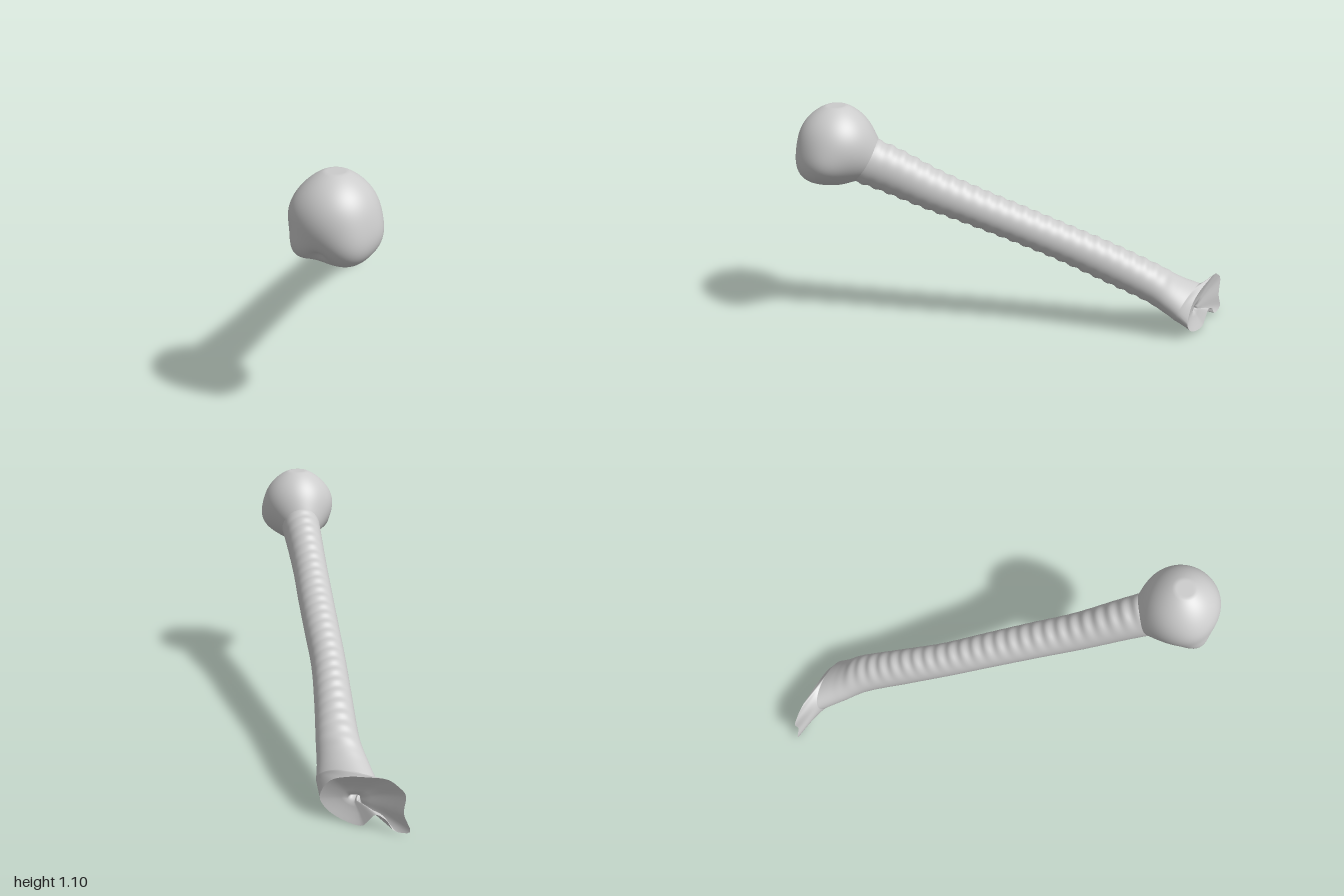
import * as THREE from 'three';
import { mergeVertices } from 'three/addons/utils/BufferGeometryUtils.js';

const SIDES = 60;

// Skin a list of rings (each SIDES points, running towards the lower end)
function loft(rings) {
  const pos = rings.flat().flatMap(p => [p.x, p.y, p.z]);
  const index = [];
  for (let i = 0; i < rings.length - 1; i++) {
    for (let j = 0; j < SIDES; j++) {
      const k = (j + 1) % SIDES;
      const a = i * SIDES + j, b = i * SIDES + k;
      const c = a + SIDES, d = b + SIDES;
      index.push(a, c, b, b, c, d);
    }
  }
  const g = new THREE.BufferGeometry();
  g.setAttribute('position', new THREE.Float32BufferAttribute(pos, 3));
  g.setIndex(index);
  g.computeVertexNormals();
  return g;
}

// Shaft stations: centre x, y, z, half width in x, skew in z, half depth
const stations = [
  [-0.02, 0.88, 0.78, 0.10, 0, 0.11],
  [-0.012, 0.805, 0.60, 0.090, 0, 0.106],
  [-0.003, 0.705, 0.40, 0.083, 0, 0.095],
  [0.012, 0.62, 0.20, 0.082, 0, 0.088],
  [0.025, 0.535, 0.00, 0.080, 0, 0.086],
  [0.038, 0.447, -0.20, 0.078, 0, 0.086],
  [0.062, 0.357, -0.40, 0.083, 0, 0.090],
  [0.088, 0.262, -0.60, 0.090, 0.015, 0.087],
  [0.088, 0.20, -0.70, 0.102, 0.04, 0.083],
  [0.088, 0.155, -0.78, 0.116, 0.07, 0.085],
];

// Smooth interpolation of the stations
function station(t) {
  const f = t * (stations.length - 1);
  const i = Math.min(Math.floor(f), stations.length - 2), w = f - i;
  const at = k => stations[Math.max(0, Math.min(stations.length - 1, k))];
  return stations[i].map((p1, n) => {
    const p0 = at(i - 1)[n], p2 = at(i + 1)[n], p3 = at(i + 2)[n];
    return p1 + 0.5 * w * (p2 - p0 + w * (2 * p0 - 5 * p1 + 4 * p2 - p3 + w * (3 * (p1 - p2) + p3 - p0)));
  });
}

function shaftRing(t) {
  const [x, y, z, rx, skew, r] = station(t);
  // Fine transverse ridges that fade out towards the lower end
  const fade = THREE.MathUtils.smoothstep(z, -0.75, -0.5);
  const ridge = 0.004 * fade * Math.sin(z * 2 * Math.PI / 0.055);
  return Array.from({ length: SIDES }, (_, j) => {
    const a = j / SIDES * Math.PI * 2, c = Math.cos(a), s = Math.sin(a);
    const v = s * (r + ridge * Math.abs(s));
    return new THREE.Vector3(x + c * rx, y + v * 0.91, z + c * skew - v * 0.41);
  });
}

// Outline of the broad, notched lower end, lying in an oblique upright plane
function endOutline() {
  const pts = [
    [0.2, 0.1], [0.165, 0.18], [0.1, 0.215], [0.03, 0.23], [-0.04, 0.237],
    [-0.075, 0.215], [-0.1, 0.185], [-0.095, 0.1], [-0.118, 0.025], [-0.065, 0.015],
    [-0.035, 0.055], [0, 0.07], [0.03, 0.03], [0.05, 0.006], [0.13, 0.02], [0.18, 0.055],
  ].map(([x, y]) => new THREE.Vector3(x, y, -0.902 + 0.71 * x));
  const curve = new THREE.CatmullRomCurve3(pts, true);
  return Array.from({ length: SIDES }, (_, j) => curve.getPoint(j / SIDES));
}

function createShaft(outline) {
  const rings = [];
  for (let i = 0; i <= 240; i++) rings.push(shaftRing(i / 240));
  const last = rings[rings.length - 1];
  for (let i = 1; i <= 8; i++) rings.push(last.map((p, j) => p.clone().lerp(outline[j], i / 8)));
  return loft(rings);
}

// Concave end face that sinks into a small pit
function createEndFace(outline) {
  const pit = new THREE.Vector3(0.09, 0.1, -0.838);
  const inward = new THREE.Vector3(-0.5, 0.25, 0.75).normalize();
  const steps = [[1, 0], [0.85, 0.006], [0.6, 0.016], [0.35, 0.022], [0.16, 0.026], [0.12, 0.04], [0.1, 0.075], [0, 0.08]];
  return loft(steps.map(([scale, depth]) =>
    outline.map(p => pit.clone().lerp(p, scale).addScaledVector(inward, depth))));
}

// Rounded head: a sphere with swellings and a groove, flattened on top
function createHead() {
  const bumps = [ // direction, height, width
    [0.8, -0.4, 0.3, 0.022, 0.45],
    [-0.75, -0.6, 0.35, 0.04, 0.35],
    [-0.9, 0.1, 0.1, 0.01, 0.5],
    [0.3, -0.6, 0.75, 0.04, 0.5],
    [0, -1, 0.1, 0.015, 0.5],
    [-0.4, -0.75, 0.6, -0.025, 0.2],
    [0, 0.95, -0.1, 0.012, 0.5],
    [0, -0.5, -0.85, 0.05, 0.5],
  ].map(([x, y, z, h, w]) => ({ dir: new THREE.Vector3(x, y, z).normalize(), h, w }));
  let g = new THREE.SphereGeometry(1, 96, 64);
  g.deleteAttribute('uv');
  g.deleteAttribute('normal');
  g = mergeVertices(g, 1e-5);
  const pos = g.attributes.position, p = new THREE.Vector3();
  for (let i = 0; i < pos.count; i++) {
    p.fromBufferAttribute(pos, i).normalize();
    let r = 0.172;
    for (const { dir, h, w } of bumps) r += h * Math.exp(-p.distanceToSquared(dir) / (w * w));
    p.multiplyScalar(r);
    pos.setXYZ(i, p.x - 0.025, Math.min(p.y + 0.925, 1.1), p.z + 0.82);
  }
  g.computeVertexNormals();
  return g;
}

export function createModel() {
  const group = new THREE.Group();
  group.name = 'armBone';
  const material = new THREE.MeshStandardMaterial({ color: 0xcccccc, side: THREE.DoubleSide });
  const add = (name, geometry) => {
    const mesh = new THREE.Mesh(geometry, material);
    mesh.name = name;
    group.add(mesh);
  };
  const outline = endOutline();
  add('head', createHead());
  add('shaft', createShaft(outline));
  add('lowerEndFace', createEndFace(outline));
  return group;
}
